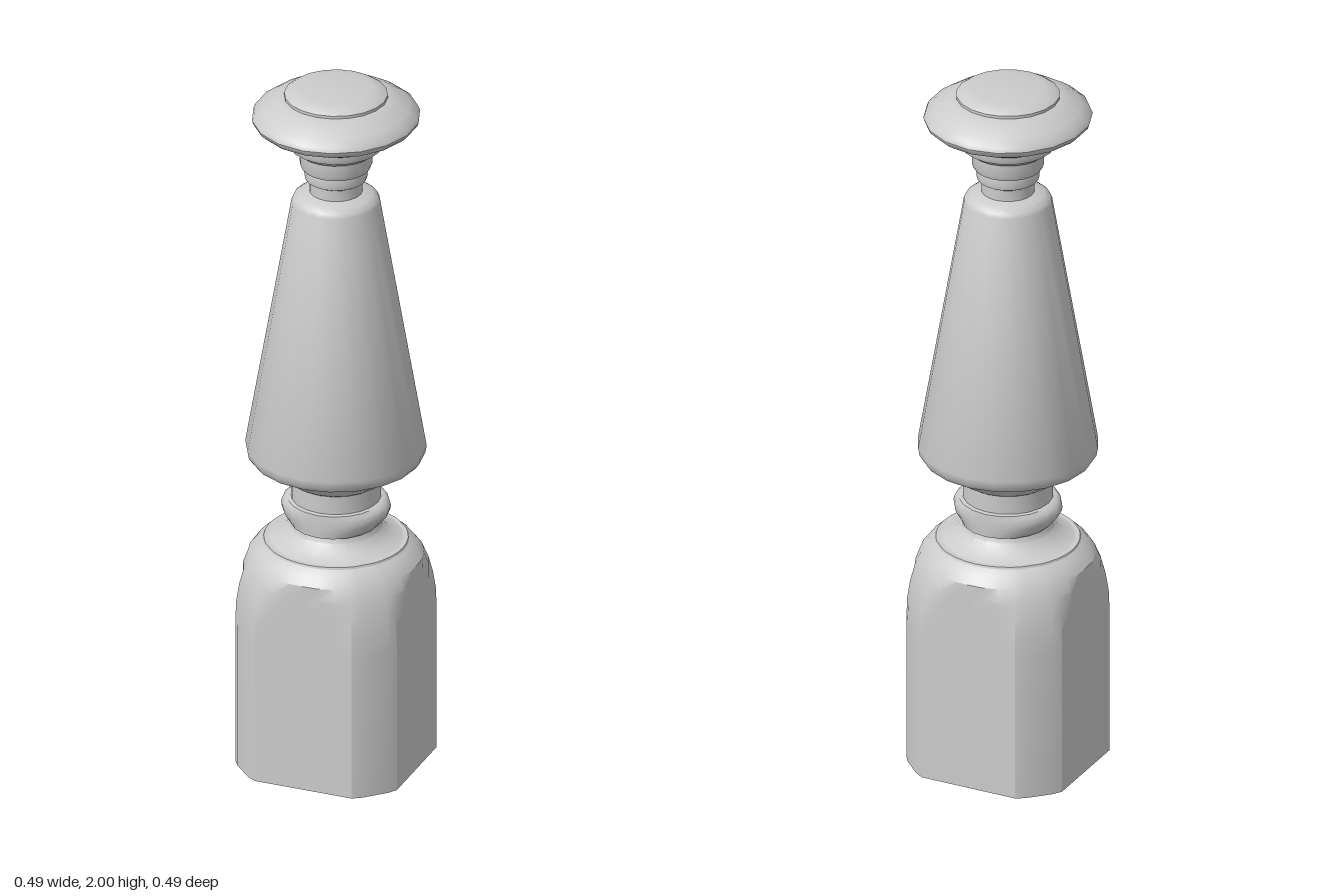
import * as THREE from 'three';
import { toCreasedNormals } from 'three/addons/utils/BufferGeometryUtils.js';

const material = new THREE.MeshStandardMaterial({ color: 0xcccccc });
const RAD = Math.PI / 180;

function part(name, geometry, crease = 0.55) {
  const mesh = new THREE.Mesh(toCreasedNormals(geometry, crease), material);
  mesh.name = name;
  return mesh;
}

// Turned part from [radius, height] pairs, listed bottom to top
function turned(name, profile, sides = 20, crease) {
  const points = profile.map(([r, y]) => new THREE.Vector2(r, y));
  return part(name, new THREE.LatheGeometry(points, sides), crease);
}

// Surface through stacked loops; radius(level, angle) gives each loop's outline
function loft(name, levels, angles, radius, crease) {
  const positions = [], index = [], n = angles.length;
  for (const level of levels) {
    for (const a of angles) {
      const r = radius(level, a);
      positions.push(r * Math.sin(a), level.y, r * Math.cos(a));
    }
  }
  for (let j = 0; j < levels.length - 1; j++) {
    for (let i = 0; i < n; i++) {
      const a = j * n + i, b = j * n + (i + 1) % n;
      index.push(a, b, b + n, a, b + n, a + n);
    }
  }
  const geometry = new THREE.BufferGeometry();
  geometry.setAttribute('position', new THREE.Float32BufferAttribute(positions, 3));
  geometry.setIndex(index);
  return part(name, geometry, crease);
}

export function createModel() {
  const group = new THREE.Group();

  // Square block with cut corners, its shoulders rounding in to a circle
  const blockAngles = [];
  for (let q = 0; q < 4; q++) {
    for (const d of [0, 10, 20, 31, 37, 53, 59, 70, 80]) blockAngles.push((q * 90 + d) * RAD);
  }
  const blockLevels = [
    [0, 0], [0.275, 0], [0.275, 0.42], [0.272, 0.48], [0.264, 0.53],
    [0.252, 0.575], [0.237, 0.61], [0.217, 0.635], [0.197, 0.65], [0.195, 0.656], [0.12, 0.656],
  ].map(([r, y]) => ({ r, y }));
  group.add(loft('baseBlock', blockLevels, blockAngles, (level, a) =>
    Math.min(0.235 / Math.max(Math.abs(Math.cos(a)), Math.abs(Math.sin(a))), level.r), 0.5));

  // Foot of the neck, flaring on to the block
  group.add(turned('neckFlare', [
    [0.19, 0.654], [0.172, 0.659], [0.145, 0.673], [0.125, 0.692], [0.118, 0.715], [0.118, 0.74],
  ]));

  // Uneven collar: a full bead at the sides, nearly straight at front and back
  const collarAngles = Array.from({ length: 20 }, (_, i) => i * 18 * RAD);
  const collarLevels = [
    [0.118, 0.118, 0.705], [0.122, 0.134, 0.71], [0.135, 0.135, 0.725], [0.147, 0.135, 0.74],
    [0.15, 0.135, 0.753], [0.146, 0.135, 0.767], [0.132, 0.135, 0.778], [0.115, 0.115, 0.78],
  ].map(([side, front, y]) => ({ side, front, y }));
  group.add(loft('neckCollar', collarLevels, collarAngles, (level, a) =>
    THREE.MathUtils.lerp(level.front, level.side, Math.sin(a) ** 2), 0.7));

  // Straight neck and the cup under the shaft
  group.add(turned('neck', [
    [0.122, 0.74], [0.122, 0.832], [0.135, 0.84], [0.165, 0.863], [0.188, 0.89], [0.19, 0.897],
  ]));

  // Tapered shaft
  group.add(turned('shaft', [
    [0.12, 0.895], [0.215, 0.895], [0.231, 0.9], [0.241, 0.914], [0.245, 0.935],
    [0.12, 1.665], [0.115, 1.677], [0.1, 1.688], [0.072, 1.695],
  ], 20, 0.65));

  // Stepped rings widening towards the head
  group.add(turned('steppedRings', [
    [0.072, 1.685], [0.072, 1.727], [0.083, 1.733], [0.086, 1.745], [0.083, 1.763],
    [0.093, 1.767], [0.098, 1.78], [0.098, 1.815], [0.106, 1.818], [0.112, 1.826],
    [0.127, 1.833], [0.132, 1.845], [0.132, 1.857], [0.145, 1.862], [0.156, 1.877], [0.165, 1.888],
  ], 20, 0.6));

  // Broad disc-shaped head
  const head = turned('headDisc', [
    [0.15, 1.883], [0.185, 1.889], [0.218, 1.898], [0.231, 1.91], [0.234, 1.919],
    [0.229, 1.931], [0.205, 1.948], [0.175, 1.966], [0.15, 1.976], [0.13, 1.978],
  ], 18, 0.7);
  head.scale.x = 0.97;
  group.add(head);

  // Low button on top
  group.add(turned('topButton', [
    [0.14, 1.972], [0.14, 1.985], [0.125, 1.995], [0.1, 2], [0, 2],
  ], 20, 0.7));

  return group;
}
